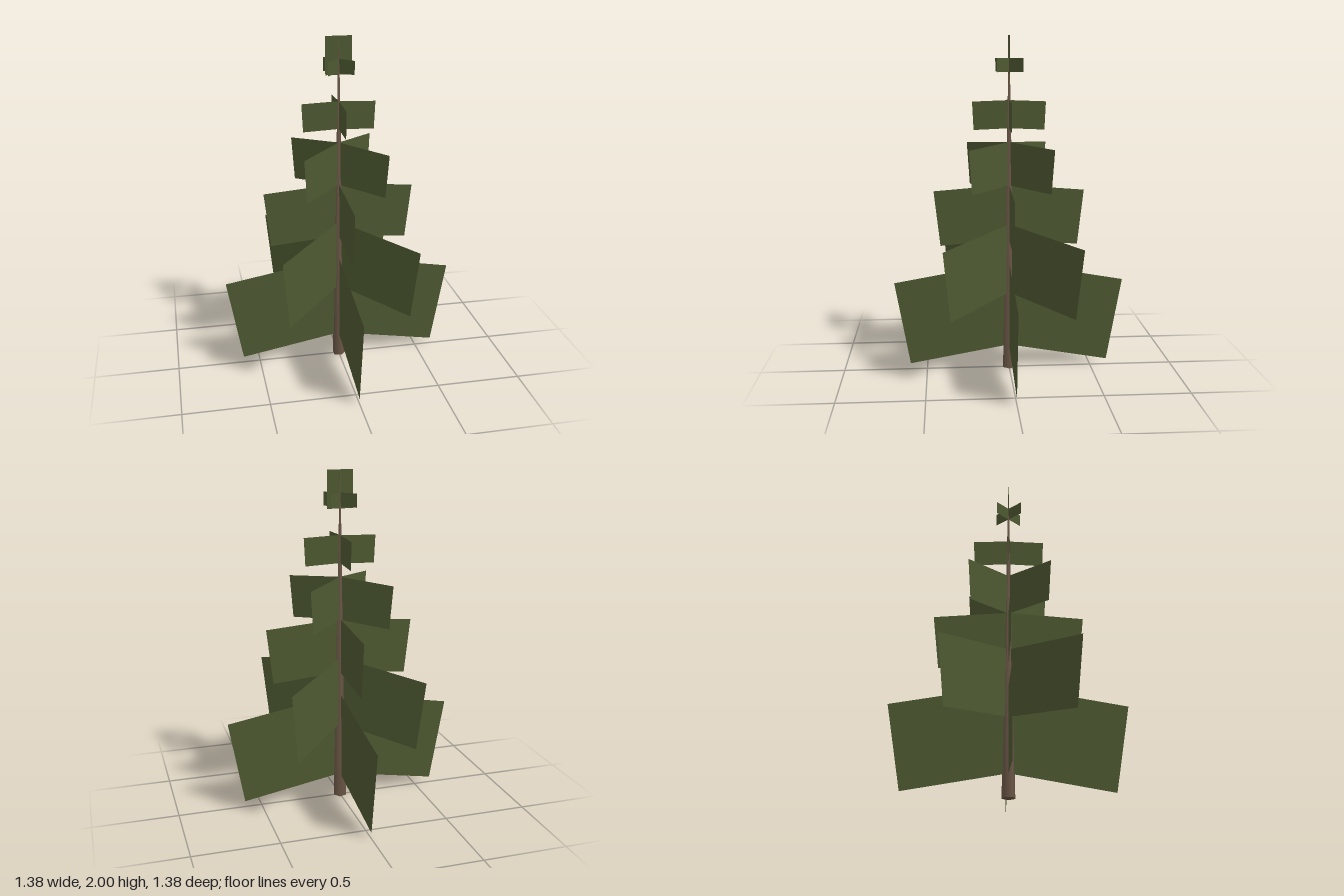
import * as THREE from 'three';

export function createModel() {
  const tree = new THREE.Group();
  tree.name = 'coniferTree';

  const bark = new THREE.MeshStandardMaterial({ color: 0x6a5646 });
  bark.name = 'bark brown';
  const needles = new THREE.MeshStandardMaterial({ color: 0x4d5931, side: THREE.DoubleSide });
  needles.name = 'needle green';

  // Tapering five-sided trunk
  const trunk = new THREE.Mesh(new THREE.CylinderGeometry(0.002, 0.04, 1.98, 5, 1, false, Math.PI / 2), bark);
  trunk.name = 'trunk';
  trunk.position.y = 0.99;
  tree.add(trunk);

  // Upright flat sheet, outlined by [x, y] corners
  const sheet = (name, corners) => {
    const shape = new THREE.Shape(corners.map(([x, y]) => new THREE.Vector2(x, y)));
    const mesh = new THREE.Mesh(new THREE.ShapeGeometry(shape), needles);
    mesh.name = name;
    return mesh;
  };

  // Each tier: trunk bottom y, trunk top y, outer bottom [r, y], outer top [r, y]
  const tiers = [
    { low: 0.14, high: 0.66, tipLow: [0.6, 0.035], tipHigh: [0.69, 0.54] },
    { low: 0.47, high: 0.89, tipLow: [0.505, 0.4], tipHigh: [0.56, 0.815] },
    { low: 0.8, high: 1.13, tipLow: [0.41, 0.765], tipHigh: [0.447, 1.095] },
    { low: 1.125, high: 1.383, tipLow: [0.32, 1.105], tipHigh: [0.343, 1.36] },
    { low: 1.464, high: 1.628, tipLow: [0.208, 1.455], tipHigh: [0.216, 1.62] },
    { low: 1.79, high: 1.87, tipLow: [0.107, 1.79], tipHigh: [0.107, 1.87] },
  ];

  // Four drooping branches per tier, alternate tiers turned by an eighth
  tiers.forEach((t, i) => {
    const tier = new THREE.Group();
    tier.name = `branchTier${i + 1}`;
    for (let k = 0; k < 4; k++) {
      const branch = sheet('branch', [[0, t.low], t.tipLow, t.tipHigh, [0, t.high]]);
      branch.rotation.y = (k + (i % 2) / 2) * Math.PI / 2;
      tier.add(branch);
    }
    tree.add(tier);
  });

  // Single upright sprig at the tip
  tree.add(sheet('topSprig', [[-0.077, 1.78], [0.077, 1.78], [0.077, 2], [-0.077, 2]]));

  return tree;
}
